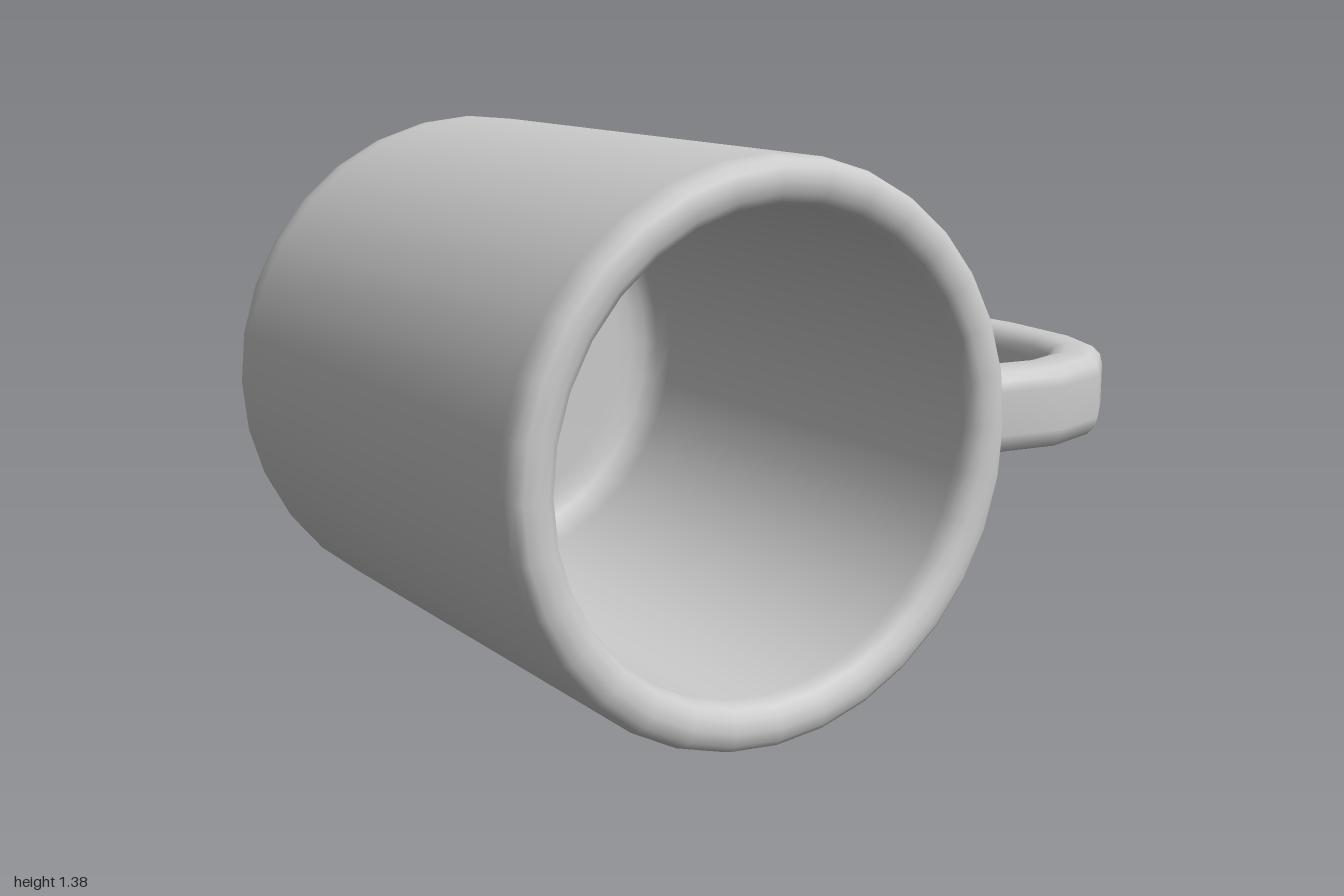
import * as THREE from 'three';

const AXIS_X = -0.31, AXIS_Y = 0.695;

// Sweeps a rounded-rectangle section along a path lying in the xz plane.
function sweepFlat(path, section) {
  const pos = [], index = [], n = section.length, rows = path.length;
  path.forEach(([x, z], i) => {
    const a = path[Math.max(i - 1, 0)], b = path[Math.min(i + 1, rows - 1)];
    const len = Math.hypot(b[0] - a[0], b[1] - a[1]);
    const nx = (b[1] - a[1]) / len, nz = -(b[0] - a[0]) / len; // points outwards
    section.forEach(p => pos.push(x + nx * p.x, p.y, z + nz * p.x));
    if (i === rows - 1) return;
    for (let j = 0; j < n; j++) {
      const k = (j + 1) % n, r = i * n, s = r + n;
      index.push(r + j, r + k, s + j, r + k, s + k, s + j);
    }
  });
  const geo = new THREE.BufferGeometry();
  geo.setAttribute('position', new THREE.Float32BufferAttribute(pos, 3));
  geo.setIndex(index);
  geo.computeVertexNormals();
  return geo;
}

// Counter-clockwise rounded rectangle: half sizes w, h and corner radius r.
function roundedSection(w, h, r, steps = 3) {
  const pts = [];
  [[1, 1], [-1, 1], [-1, -1], [1, -1]].forEach(([sx, sy], q) => {
    for (let i = 0; i <= steps; i++) {
      const a = (q + i / steps) * Math.PI / 2;
      pts.push(new THREE.Vector2(sx * (w - r) + r * Math.cos(a), sy * (h - r) + r * Math.sin(a)));
    }
  });
  return pts;
}

export function createModel() {
  const group = new THREE.Group();
  group.name = 'mug';
  const material = new THREE.MeshStandardMaterial({ color: 0xcccccc, side: THREE.DoubleSide });

  // Body lying on its side: recessed base, outer wall, rounded rim, inner wall, floor
  const profile = [
    [0, -0.73], [0.46, -0.73], [0.51, -0.738], [0.55, -0.762], [0.58, -0.786], [0.61, -0.795],
    [0.64, -0.79], [0.665, -0.775], [0.682, -0.75], [0.69, -0.71], [0.69, -0.68],
    [0.69, 0.72], [0.69, 0.745], [0.682, 0.77], [0.665, 0.785], [0.635, 0.792],
    [0.605, 0.785], [0.585, 0.77], [0.575, 0.745], [0.575, 0.72],
    [0.575, -0.56], [0.565, -0.61], [0.54, -0.64], [0.5, -0.655], [0.45, -0.66], [0, -0.66],
  ].map(([r, y]) => new THREE.Vector2(r, y));
  const body = new THREE.Mesh(new THREE.LatheGeometry(profile, 32), material);
  body.name = 'body';
  body.rotation.x = Math.PI / 2;
  body.position.set(AXIS_X, AXIS_Y, 0);
  group.add(body);

  // D-shaped handle, its ends buried in the wall
  const path = [
    [0.32, -0.52], [0.42, -0.52], [0.59, -0.512], [0.72, -0.43], [0.815, -0.28], [0.89, -0.06],
    [0.916, 0.18], [0.9, 0.39], [0.85, 0.525], [0.75, 0.615], [0.61, 0.655], [0.42, 0.622], [0.32, 0.6],
  ];
  const handle = new THREE.Mesh(sweepFlat(path, roundedSection(0.077, 0.11, 0.055)), material);
  handle.name = 'handle';
  handle.position.y = AXIS_Y;
  group.add(handle);

  return group;
}
